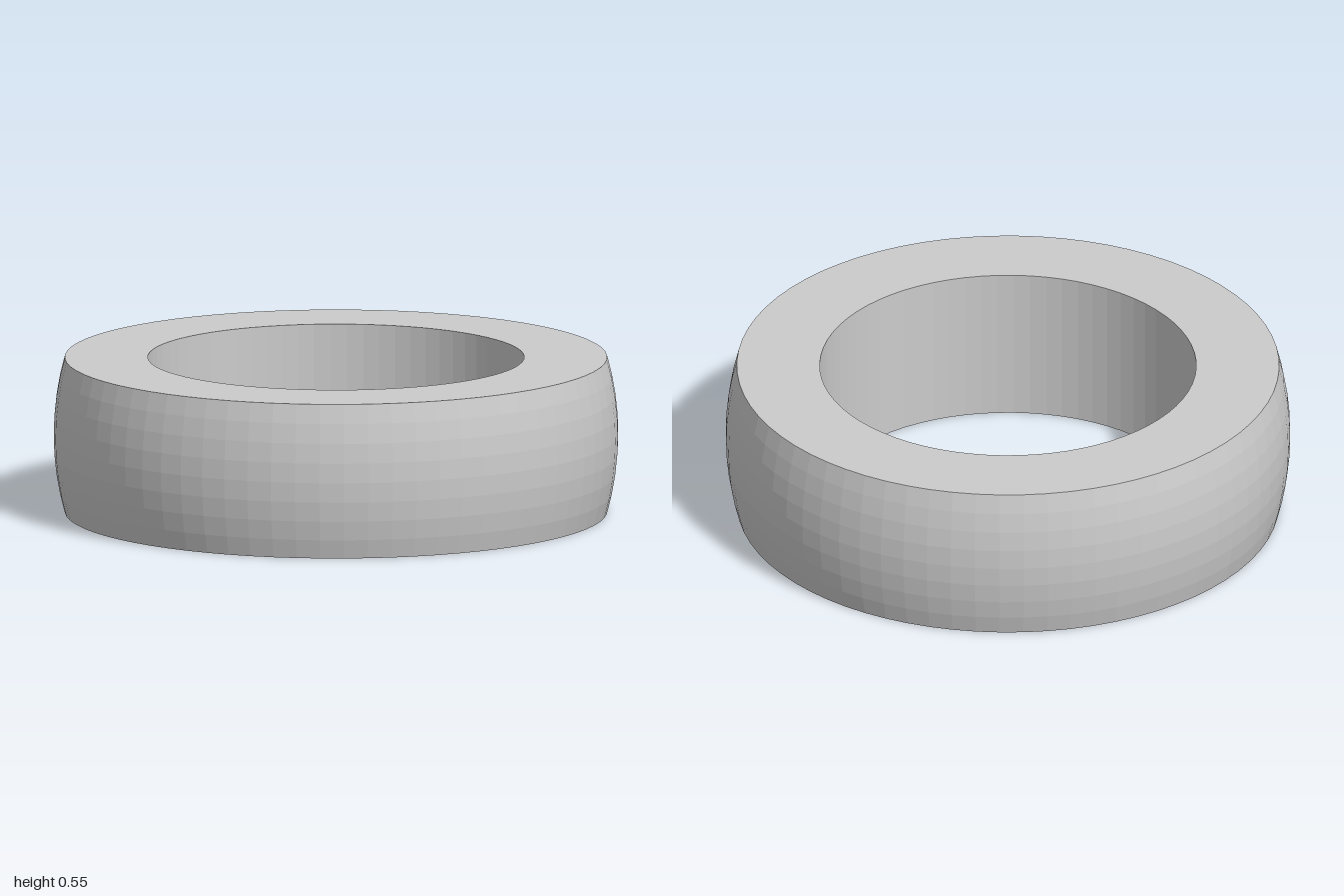
import * as THREE from 'three';

const OUTER_RADIUS = 1;      // spherical outer surface
const BORE_RADIUS = 0.667;
const HALF_HEIGHT = 0.277;
const SEGMENTS = 72;
const ROWS = 8;

export function createModel() {
  const group = new THREE.Group();
  group.name = 'sphericalRing';

  // Cross-section: bulging outer wall going up, flat top, bore, flat bottom
  const profile = [];
  const tilt = Math.asin(HALF_HEIGHT / OUTER_RADIUS);
  for (let i = 0; i <= ROWS; i++) {
    const a = -tilt + (2 * tilt * i) / ROWS;
    profile.push(new THREE.Vector2(OUTER_RADIUS * Math.cos(a), HALF_HEIGHT + OUTER_RADIUS * Math.sin(a)));
  }
  profile.push(new THREE.Vector2(BORE_RADIUS, 2 * HALF_HEIGHT));
  profile.push(new THREE.Vector2(BORE_RADIUS, 0));
  profile.push(profile[0].clone());

  const material = new THREE.MeshStandardMaterial({ color: 0xcccccc, flatShading: true });
  const ring = new THREE.Mesh(new THREE.LatheGeometry(profile, SEGMENTS), material);
  ring.name = 'ring';
  group.add(ring);
  return group;
}
